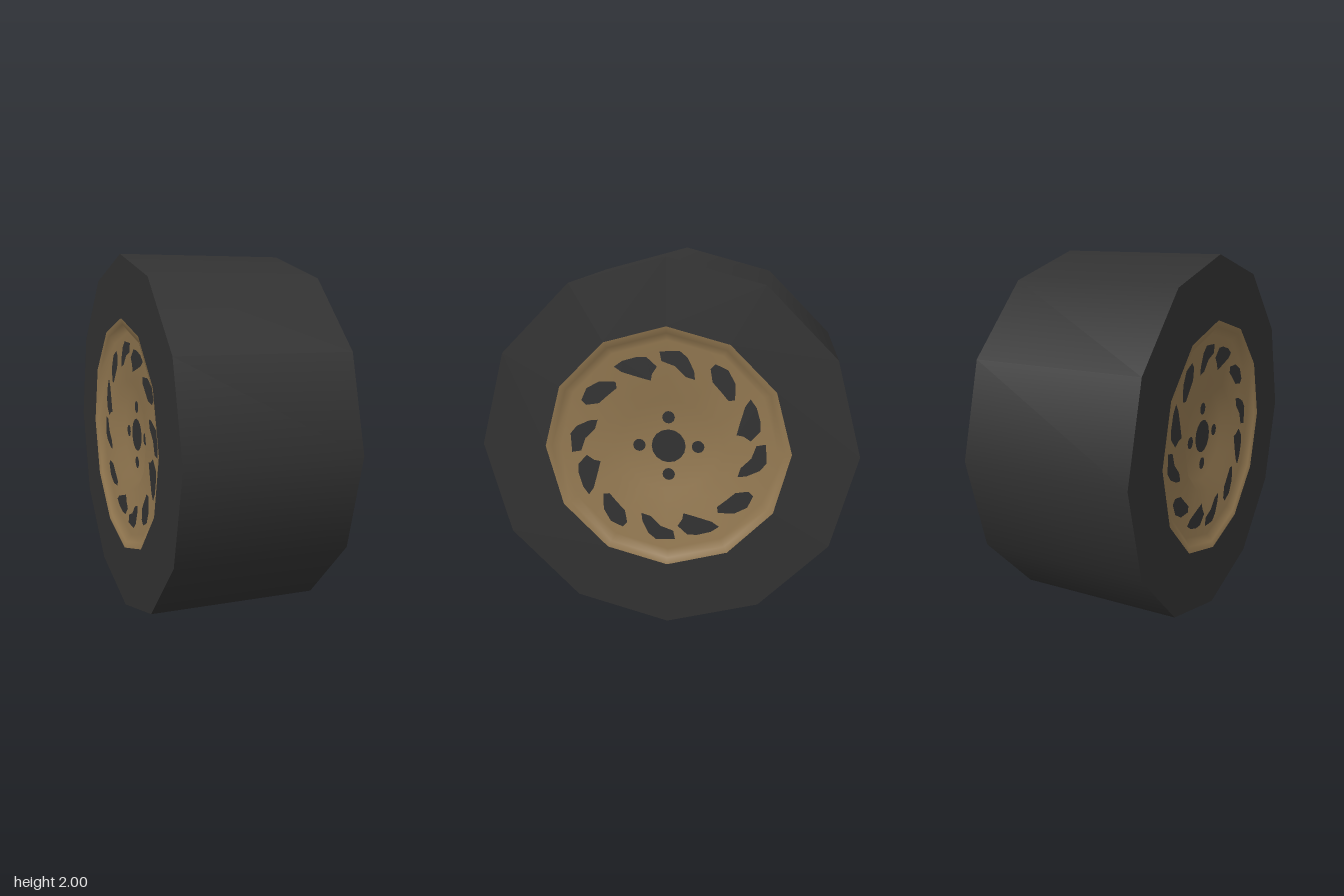
import * as THREE from 'three';

const SIDES = 12;
const HALF_WIDTH = 0.47;
const FACE_DEPTH = 0.04;   // recess of the slotted face
const HUB_DEPTH = 0.085;   // recess of the hub

// Three slot outlines, repeated every quarter turn
const SLOTS = [
  [[-0.04, 0.52], [0.065, 0.525], [0.107, 0.49], [0.14, 0.42], [0.145, 0.375], [0.095, 0.39], [0.04, 0.445], [-0.03, 0.47]],
  [[0.225, 0.434], [0.25, 0.46], [0.316, 0.43], [0.354, 0.36], [0.354, 0.273], [0.32, 0.268], [0.28, 0.316], [0.236, 0.365]],
  [[0.434, 0.28], [0.466, 0.236], [0.488, 0.16], [0.488, 0.107], [0.44, 0.054], [0.40, 0.08], [0.365, 0.086], [0.38, 0.145], [0.407, 0.24]],
];

function addMesh(parent, name, geometry, material) {
  const mesh = new THREE.Mesh(geometry, material);
  mesh.name = name;
  parent.add(mesh);
  return mesh;
}

// One wheel face, built facing +z; mirror is 1 or -1
function createFace(mirror, rubber, bronze) {
  const face = new THREE.Group();

  // Flat sidewall around the rim
  addMesh(face, 'sidewall', new THREE.RingGeometry(0.655, 1, SIDES), rubber).position.z = HALF_WIDTH;

  // Dished rim: lip, slotted face, step down to the hub
  const profile = [
    [0.66, 0], [0.62, -0.008], [0.58, -FACE_DEPTH], [0.31, -FACE_DEPTH],
    [0.26, -HUB_DEPTH], [0, -HUB_DEPTH],
  ].map(([r, y]) => new THREE.Vector2(r, y));
  const rim = new THREE.LatheGeometry(profile, SIDES).rotateX(Math.PI / 2);
  addMesh(face, 'rim', rim, bronze).position.z = HALF_WIDTH;

  // Swirled slots
  for (let quarter = 0; quarter < 4; quarter++) {
    for (const outline of SLOTS) {
      const points = outline.map(([x, y]) => {
        const p = new THREE.Vector2(x, y).rotateAround(new THREE.Vector2(), quarter * Math.PI / 2);
        p.x *= mirror;
        return p;
      });
      const slot = addMesh(face, 'rimSlot', new THREE.ShapeGeometry(new THREE.Shape(points)), rubber);
      slot.position.z = HALF_WIDTH - FACE_DEPTH + 0.003;
    }
  }

  // Centre bore and four bolt holes
  const hubZ = HALF_WIDTH - HUB_DEPTH + 0.003;
  addMesh(face, 'centreBore', new THREE.CircleGeometry(0.092, 16), rubber).position.z = hubZ;
  for (let i = 0; i < 4; i++) {
    const a = i * Math.PI / 2;
    const bolt = addMesh(face, 'boltHole', new THREE.CircleGeometry(0.034, 12), rubber);
    bolt.position.set(0.159 * Math.cos(a), 0.159 * Math.sin(a), hubZ);
  }
  return face;
}

export function createModel() {
  const rubber = new THREE.MeshStandardMaterial({ color: 0x323232 });
  rubber.name = 'darkRubber';
  const bronze = new THREE.MeshStandardMaterial({ color: 0x957a52 });
  bronze.name = 'bronze';

  const wheel = new THREE.Group();
  wheel.name = 'wheel';

  // Twelve-sided tread, smooth shaded
  const tread = new THREE.CylinderGeometry(1, 1, HALF_WIDTH * 2, SIDES, 1, true).rotateZ(Math.PI / 2);
  addMesh(wheel, 'tread', tread, rubber);

  // Mirrored faces on both sides
  for (const side of [1, -1]) {
    const face = createFace(side, rubber, bronze);
    face.name = side > 0 ? 'leftFace' : 'rightFace';
    face.rotation.y = side * Math.PI / 2;
    wheel.add(face);
  }

  wheel.position.y = 1;
  const model = new THREE.Group();
  model.name = 'wheelModel';
  model.add(wheel);
  return model;
}
